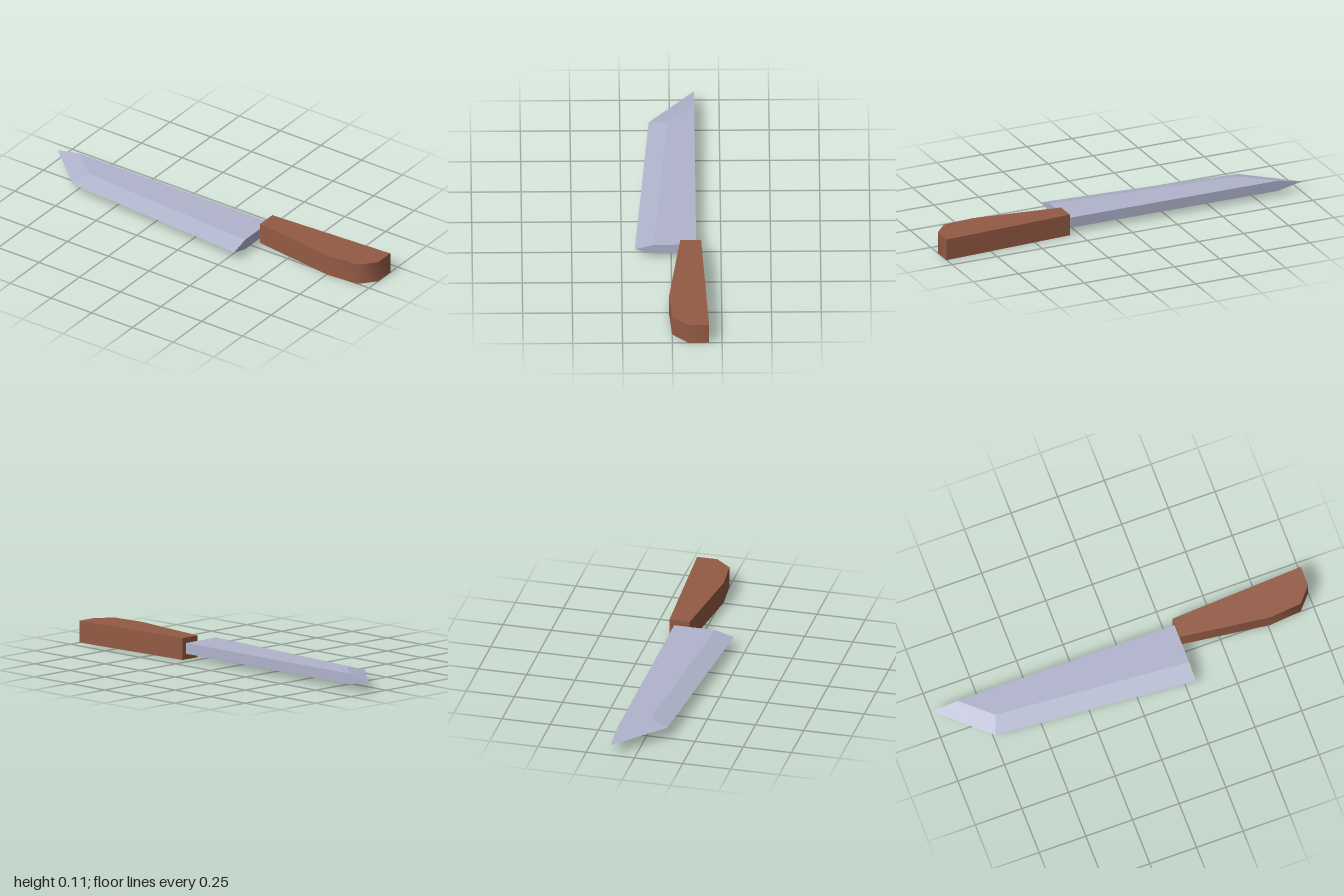
import * as THREE from 'three';
import { ConvexGeometry } from 'three/addons/geometries/ConvexGeometry.js';
import { toCreasedNormals } from 'three/addons/utils/BufferGeometryUtils.js';

const MID = 0.056;        // height of the cutting edge
const HALF_BLADE = 0.0275;
const HANDLE_HEIGHT = 0.112;

export function createModel() {
  const model = new THREE.Group();
  model.name = 'knife';

  const steel = new THREE.MeshStandardMaterial({ color: 0xb0b4cc });
  steel.name = 'steel';
  const wood = new THREE.MeshStandardMaterial({ color: 0x945b44 });
  wood.name = 'wood';

  // Blade: thin cutting edge at mid height, flat cheeks above and below, flat bevels between
  const edge = [[-1, -0.125], [-0.745, 0.105], [0.3, 0.183]];
  const cheek = [[-0.865, -0.125], [-0.71, 0.012], [0.3, 0.087], [0.3, -0.125]];
  const points = edge.map(([x, z]) => new THREE.Vector3(x, MID, z));
  for (const side of [-1, 1]) {
    for (const [x, z] of cheek) points.push(new THREE.Vector3(x, MID + side * HALF_BLADE, z));
  }
  const blade = new THREE.Mesh(new ConvexGeometry(points), steel);
  blade.name = 'blade';
  model.add(blade);

  // Handle: flat slab widening towards a softly rounded butt
  const outline = [[0.3, -0.15], [1, -0.185], [1, -0.08], [0.93, 0], [0.76, 0.015], [0.3, -0.045]];
  const shape = new THREE.Shape(outline.map(([x, z]) => new THREE.Vector2(x, z)));
  const slab = new THREE.ExtrudeGeometry(shape, { depth: HANDLE_HEIGHT, bevelEnabled: false });
  slab.rotateX(Math.PI / 2).translate(0, HANDLE_HEIGHT, 0);
  const handle = new THREE.Mesh(toCreasedNormals(slab, 0.95), wood);
  handle.name = 'handle';
  model.add(handle);

  return model;
}
